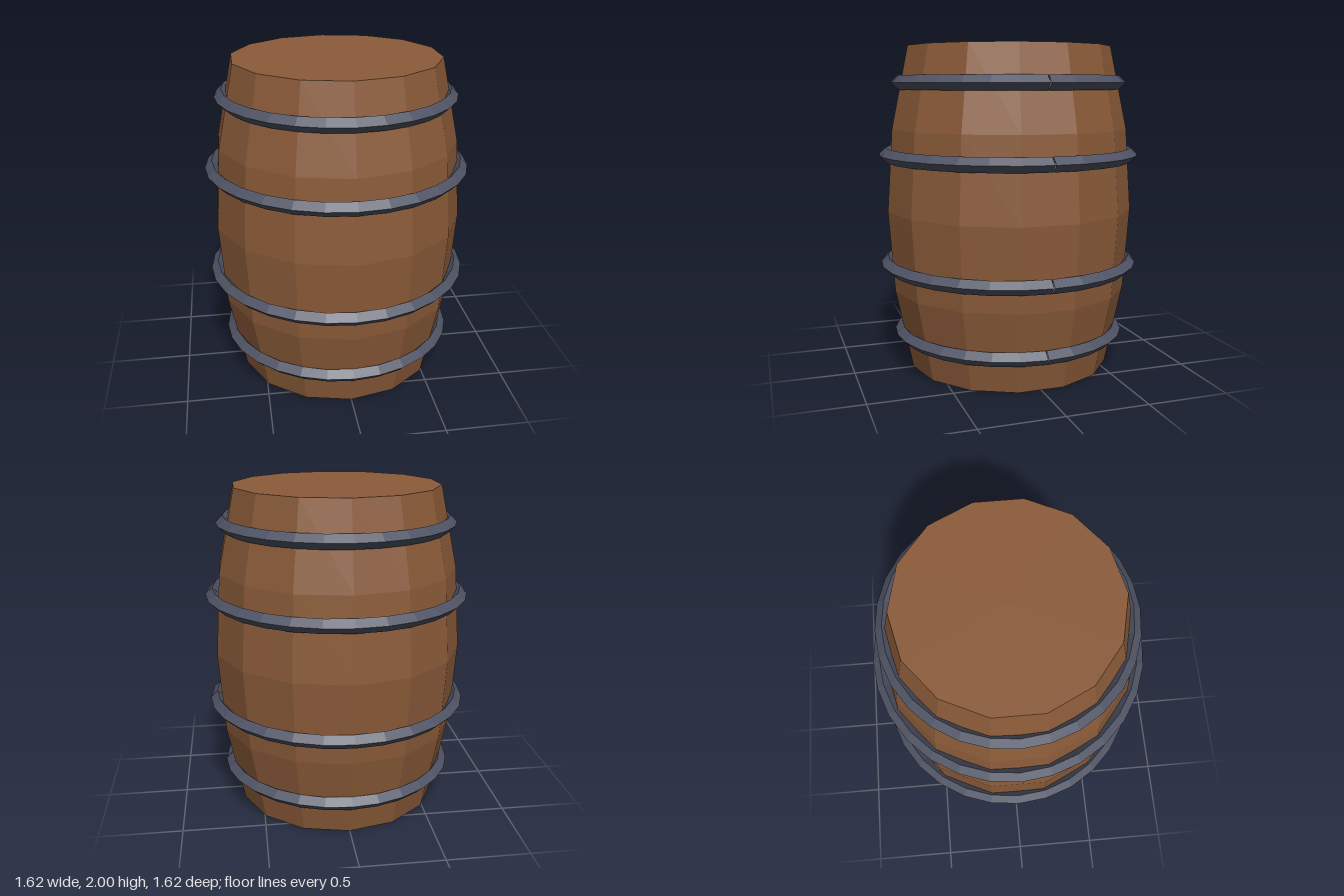
import * as THREE from 'three';

export function createModel() {
  const wood = new THREE.MeshStandardMaterial({ color: 0x8b5b39, flatShading: true });
  wood.name = 'wood';
  const iron = new THREE.MeshStandardMaterial({ color: 0x4f5364, flatShading: true, side: THREE.DoubleSide });
  iron.name = 'iron';

  const barrel = new THREE.Group();
  barrel.name = 'barrel';

  // Bulging 14-sided body with flat lids, profile from bottom to top
  const profile = [[0, 0], [0.63, 0], [0.735, 0.5], [0.77, 1], [0.735, 1.5], [0.63, 2], [0, 2]]
    .map(([r, y]) => new THREE.Vector2(r, y));
  const body = new THREE.Mesh(new THREE.LatheGeometry(profile, 14), wood);
  body.name = 'body';
  barrel.add(body);

  // Diamond-section hoops, mirrored about mid height, each with a fine seam at +x
  const hoops = [['endHoop', 0.685, 0.78], ['middleHoop', 0.765, 0.34]];
  for (const [name, radius, offset] of hoops) {
    const geometry = new THREE.TorusGeometry(radius, 0.043, 4, 28, 6.277);
    geometry.rotateX(Math.PI / 2);
    for (const side of [-1, 1]) {
      const hoop = new THREE.Mesh(geometry, iron);
      hoop.name = (side > 0 ? 'upper ' : 'lower ') + name;
      hoop.position.y = 1 + side * offset;
      barrel.add(hoop);
    }
  }
  return barrel;
}
